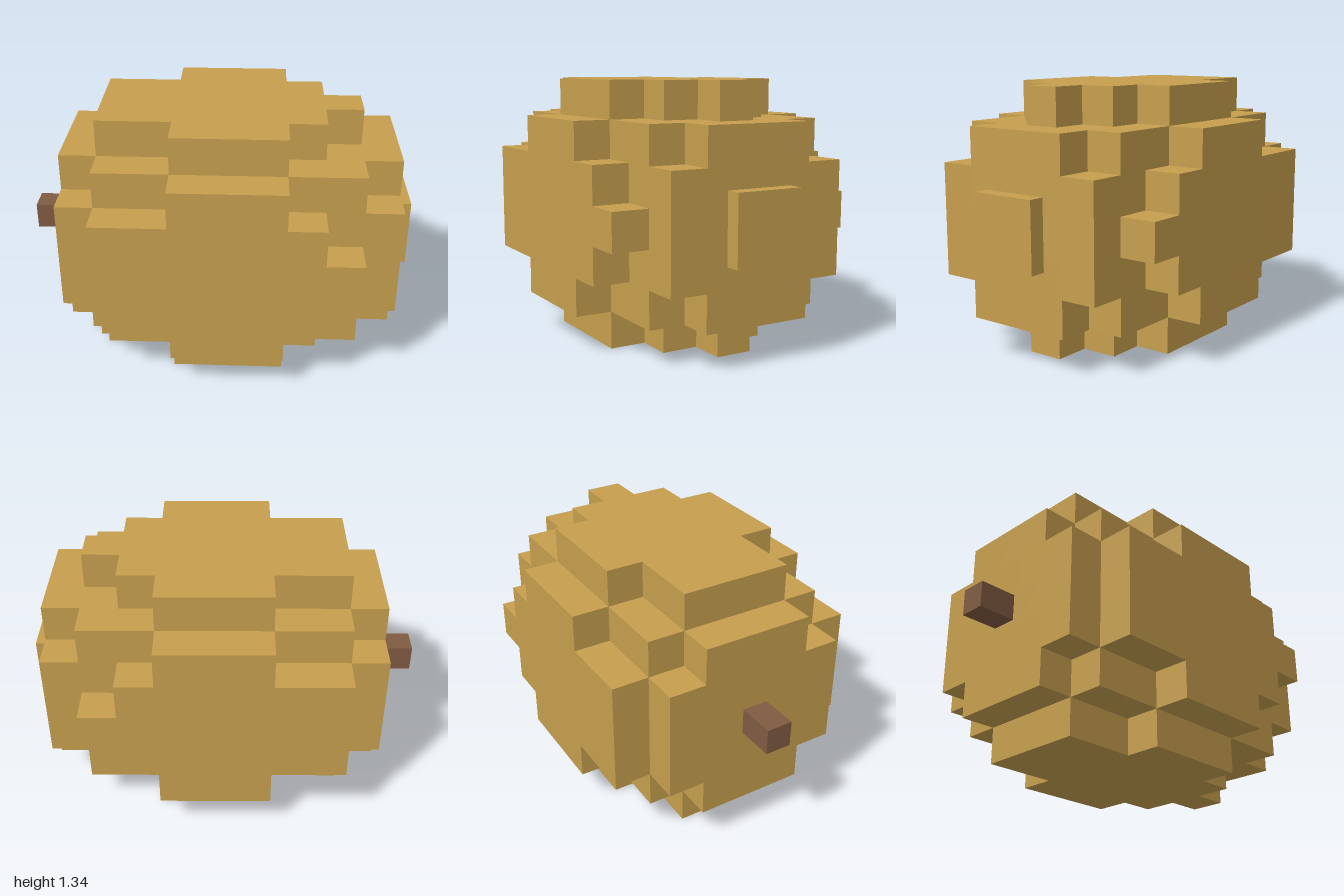
import * as THREE from 'three';
import { mergeGeometries } from 'three/addons/utils/BufferGeometryUtils.js';

const CELL = 0.1913;            // edge of one block
const X0 = -0.803, MID_Y = 0.67; // left end of the body, height of its axis

// First and last block along x, by distance in blocks from the axis (y and z)
function span(dy, dz) {
  const far = Math.max(dy, dz), near = Math.min(dy, dz);
  if (far > 3) return null;
  if (far === 3) return [[1, 7], [1, 6], [3, 5], null][near];
  if (near === 2) return [1, 7];
  return [0, 8];
}

function isSolid(i, j, k) {
  const s = span(Math.abs(j), Math.abs(k));
  return s !== null && i >= s[0] && i <= s[1];
}

// Blocky shell: one square for every exposed block face
function blockBody() {
  const directions = [[1, 0, 0], [-1, 0, 0], [0, 1, 0], [0, -1, 0], [0, 0, 1], [0, 0, -1]];
  const front = new THREE.Vector3(0, 0, 1);
  const faces = [];
  for (let i = 0; i < 9; i++) {
    for (let j = -3; j <= 3; j++) {
      for (let k = -3; k <= 3; k++) {
        if (!isSolid(i, j, k)) continue;
        for (const [dx, dy, dz] of directions) {
          if (isSolid(i + dx, j + dy, k + dz)) continue;
          const turn = new THREE.Quaternion().setFromUnitVectors(front, new THREE.Vector3(dx, dy, dz));
          const face = new THREE.PlaneGeometry(CELL, CELL).applyQuaternion(turn);
          face.translate(
            X0 + (i + 0.5 + dx / 2) * CELL,
            MID_Y + (j + dy / 2) * CELL,
            (k + dz / 2) * CELL
          );
          faces.push(face);
        }
      }
    }
  }
  return mergeGeometries(faces);
}

export function createModel() {
  const tan = new THREE.MeshStandardMaterial({ name: 'tan skin', color: 0xc69f4e });
  const brown = new THREE.MeshStandardMaterial({ name: 'brown stem', color: 0x805b42 });
  const model = new THREE.Group();
  model.name = 'blockyFruit';

  const add = (name, geometry, material) => {
    const mesh = new THREE.Mesh(geometry, material);
    mesh.name = name;
    model.add(mesh);
    return mesh;
  };

  add('body', blockBody(), tan);

  // Square pad on the right end
  add('endPad', new THREE.BoxGeometry(0.081, 0.354, 0.354), tan)
    .position.set(0.9595, 0.673, 0);

  // Short stem on the left end
  add('stem', new THREE.BoxGeometry(0.198, 0.136, 0.136), brown)
    .position.set(-0.901, 0.673, 0);

  return model;
}
